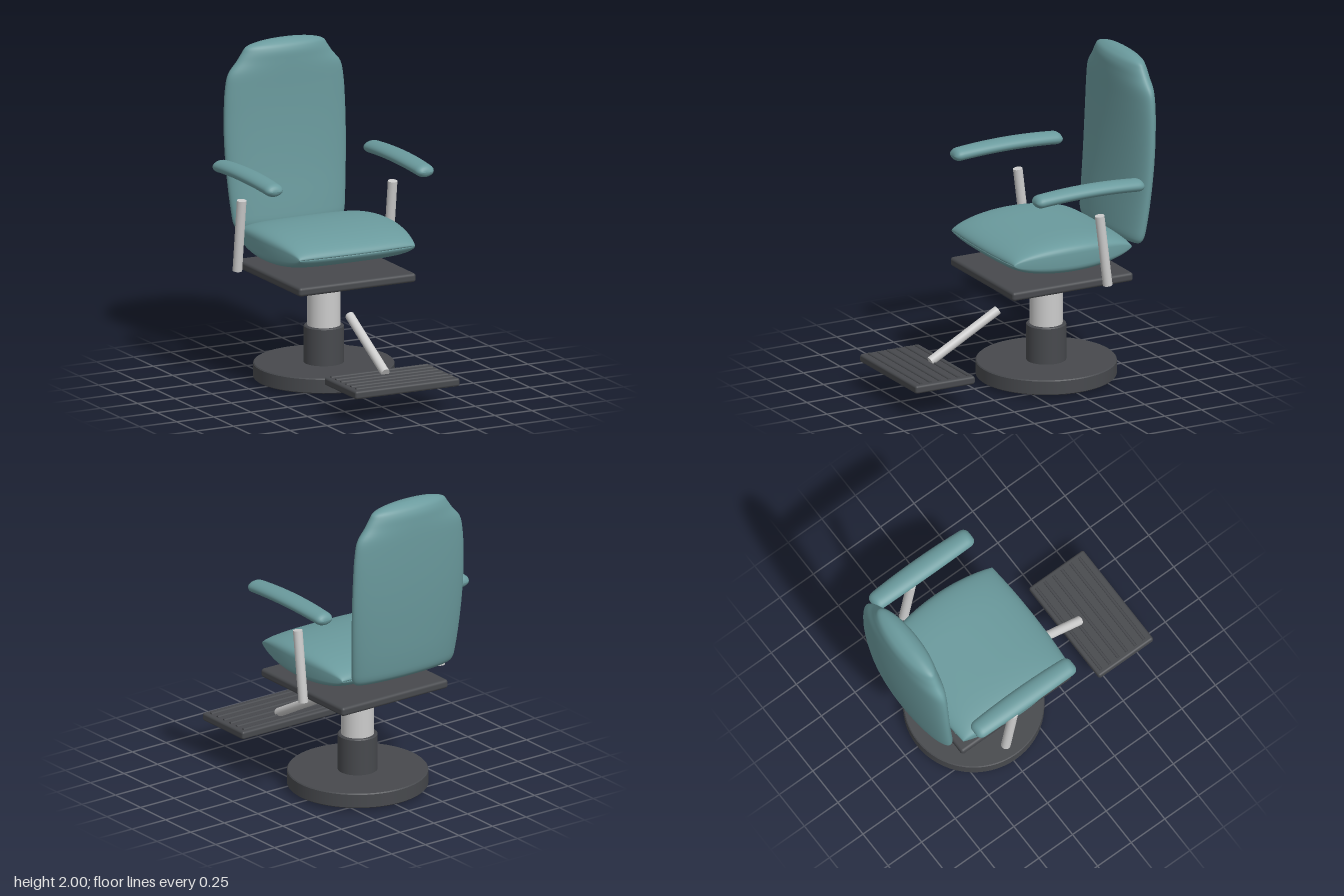
import * as THREE from 'three';
import { RoundedBoxGeometry } from 'three/addons/geometries/RoundedBoxGeometry.js';

const teal = new THREE.MeshStandardMaterial({ color: 0x6a9a9d });
const dark = new THREE.MeshStandardMaterial({ color: 0x47494d });
const grey = new THREE.MeshStandardMaterial({ color: 0xcccccc });

const AXIS_Z = -0.24; // pedestal centre

// Closed skin over rows of rings: point(row, angle) -> [x, y, z], smooth normals
function loft(rows, sides, point) {
  const pos = [], index = [];
  rows.forEach((row) => {
    for (let j = 0; j < sides; j++) pos.push(...point(row, (j / sides) * Math.PI * 2));
  });
  for (let i = 0; i < rows.length - 1; i++) {
    for (let j = 0; j < sides; j++) {
      const k = (j + 1) % sides;
      const a = i * sides + j, b = i * sides + k, c = a + sides, d = b + sides;
      index.push(a, b, c, b, d, c);
    }
  }
  // end caps
  [0, rows.length - 1].forEach((r, end) => {
    const center = pos.length / 3, mid = [0, 0, 0];
    for (let j = 0; j < sides; j++) {
      for (let n = 0; n < 3; n++) mid[n] += pos[(r * sides + j) * 3 + n] / sides;
    }
    pos.push(...mid);
    for (let j = 0; j < sides; j++) {
      const a = r * sides + j, b = r * sides + ((j + 1) % sides);
      if (end) index.push(center, a, b);
      else index.push(center, b, a);
    }
  });
  const g = new THREE.BufferGeometry();
  g.setAttribute('position', new THREE.Float32BufferAttribute(pos, 3));
  g.setIndex(index);
  g.computeVertexNormals();
  return g;
}

const steps = (n) => Array.from({ length: n + 1 }, (_, i) => i / n);
const power = (v, e) => Math.sign(v) * Math.abs(v) ** e;

// Seat: lens profile from the side, rounded rectangle from the front
function seatGeometry() {
  const rows = steps(40).map((s) => -Math.cos(s * Math.PI));
  return loft(rows, 72, (t, a) => {
    const w = 0.39 + 0.055 * (1 - t * t);
    const h = 0.11 * Math.sqrt(Math.max(0, 1 - t * t));
    const cx = power(Math.cos(a), 0.45), sy = power(Math.sin(a), 0.45);
    return [w * cx, 0.875 + h * sy, -0.21 + t * (0.4 + 0.018 * (1 - cx * cx))];
  });
}

// Backrest: elliptical sections [half width, y, half depth] stacked upwards
function backGeometry() {
  const profile = [
    [0.31, 0.86, 0.03], [0.35, 0.872, 0.062], [0.37, 0.9, 0.083], [0.382, 0.98, 0.09],
    [0.4, 1.2, 0.09], [0.408, 1.4, 0.09], [0.407, 1.55, 0.09], [0.398, 1.71, 0.09],
    [0.377, 1.81, 0.09], [0.32, 1.88, 0.088], [0.285, 1.93, 0.084], [0.262, 1.962, 0.072],
    [0.2, 1.984, 0.05], [0.11, 1.997, 0.024], [0.03, 2.0, 0.006],
  ].map((p) => new THREE.Vector3(...p));
  const rows = new THREE.CatmullRomCurve3(profile, false, 'centripetal').getPoints(56);
  return loft(rows, 64, (p, a) => {
    const lean = -0.748 + 0.083 * (p.y - 1.75) ** 2;
    return [p.x * Math.cos(a), p.y, lean - p.z * Math.sin(a)];
  });
}

// Arm pad: arched bar with an oval section and rounded ends
function armGeometry() {
  const half = 0.367, round = 0.04;
  const rows = steps(40).map((s) => -Math.cos(s * Math.PI) * half);
  return loft(rows, 32, (z, a) => {
    const over = Math.max(0, Math.abs(z) - (half - round)) / round;
    const end = Math.sqrt(Math.max(0, 1 - over * over));
    const q = (z / half) ** 2;
    const w = (0.067 - 0.009 * q) * (0.4 + 0.6 * end);
    return [w * Math.cos(a), 1.316 - 0.018 * q + 0.039 * end * Math.sin(a), z - 0.248];
  });
}

// Straight round bar between two points
function bar(from, to, radius, sides = 32) {
  const a = new THREE.Vector3(...from), b = new THREE.Vector3(...to);
  const dir = b.clone().sub(a);
  const g = new THREE.CylinderGeometry(radius, radius, dir.length(), sides);
  g.applyQuaternion(new THREE.Quaternion().setFromUnitVectors(new THREE.Vector3(0, 1, 0), dir.normalize()));
  const m = a.add(b).multiplyScalar(0.5);
  return g.translate(m.x, m.y, m.z);
}

// Upright disc or column on the pedestal axis, with softened rims
function turned(radius, y0, y1, bevel) {
  const pts = [
    [0, y0], [radius - bevel, y0], [radius, y0 + bevel],
    [radius, y1 - bevel], [radius - bevel, y1], [0, y1],
  ];
  const shape = [];
  pts.forEach(([r, y], i) => {
    // doubled points keep the rims crisp
    shape.push(new THREE.Vector2(r, y));
    if (i > 0 && i < pts.length - 1) shape.push(new THREE.Vector2(r, y));
  });
  return new THREE.LatheGeometry(shape, 64).translate(0, 0, AXIS_Z);
}

export function createModel() {
  const model = new THREE.Group();
  model.name = 'barberChair';
  const add = (name, geometry, material, parent = model) => {
    const mesh = new THREE.Mesh(geometry, material);
    mesh.name = name;
    parent.add(mesh);
    return mesh;
  };

  // Pedestal
  add('base', turned(0.422, 0.022, 0.115, 0.006), dark);
  add('column', turned(0.099, 0.003, 0.658, 0.008), grey);
  add('columnSleeve', turned(0.12, 0.1, 0.343, 0.006), dark);
  add('seatPlate', new RoundedBoxGeometry(0.79, 0.055, 0.82, 3, 0.018).translate(0, 0.682, -0.21), dark);

  // Cushions
  add('seat', seatGeometry(), teal);
  add('backrest', backGeometry(), teal);

  // Arms
  [['right', -1], ['left', 1]].forEach(([side, sign]) => {
    const arm = new THREE.Group();
    arm.name = side + 'Arm';
    arm.position.x = sign * 0.509;
    add('armPad', armGeometry(), teal, arm);
    add('armPost', bar([0, 0.703, -0.38], [0, 1.147, -0.325], 0.029), grey, arm);
    model.add(arm);
  });

  // Footrest
  const footrest = new THREE.Group();
  footrest.name = 'footrest';
  add('footPlate', new RoundedBoxGeometry(0.705, 0.05, 0.405, 3, 0.014).translate(0, 0.188, 0.635), dark, footrest);
  for (let i = 0; i < 6; i++) {
    const z = 0.467 + i * 0.064;
    add('footRidge', bar([-0.325, 0.212, z], [0.325, 0.212, z], 0.01, 12), dark, footrest);
  }
  add('footStrut', bar([0, 0.222, 0.548], [0, 0.472, 0.09], 0.028), grey, footrest);
  model.add(footrest);

  return model;
}
